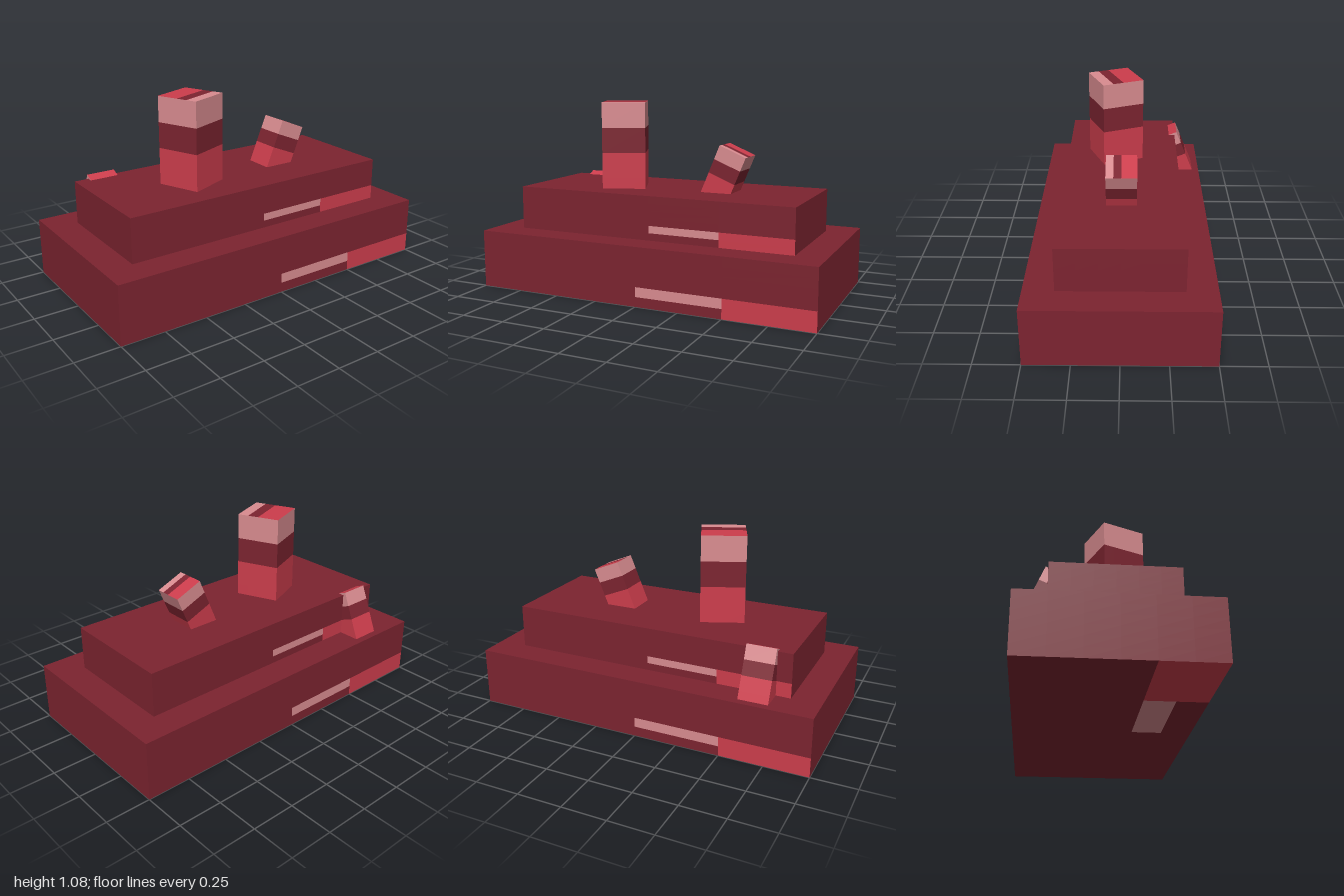
import * as THREE from 'three';

const DARK = 0, RED = 1, PINK = 2;

// Box whose grid cells are coloured by rule(normal, x, y, z), with x, y, z from 0 to 1
function patternedBox(name, size, segments, materials, rule) {
  const geo = new THREE.BoxGeometry(...size, ...segments);
  const pos = geo.attributes.position, index = geo.index;
  const centre = new THREE.Vector3(), corner = new THREE.Vector3(), normal = new THREE.Vector3();
  geo.clearGroups();
  for (let i = 0; i < index.count; i += 6) {
    centre.set(0, 0, 0);
    for (let k = 0; k < 6; k++) centre.add(corner.fromBufferAttribute(pos, index.getX(i + k)));
    // The two triangles share a diagonal, whose midpoint is the cell centre
    centre.divideScalar(6);
    normal.fromBufferAttribute(geo.attributes.normal, index.getX(i));
    const [x, y, z] = centre.toArray().map((c, a) => c / size[a] + 0.5);
    geo.addGroup(i, 6, rule(normal, x, y, z));
  }
  const mesh = new THREE.Mesh(geo, materials);
  mesh.name = name;
  return mesh;
}

// Deck blocks: red corner panel and pink bar on the front, back and underside
function deckRule(n, x, y, z) {
  if (n.y > 0.5 || Math.abs(n.x) > 0.5) return DARK;
  const u = n.z > 0.5 ? x : 1 - x;
  const v = n.y < -0.5 ? 1 - z : y;
  if (v > 1 / 3 || u < 0.5) return DARK;
  if (u > 0.75) return RED;
  return v > 1 / 6 ? PINK : DARK;
}

// Funnels: red lower half, dark band, pink band; the cap repeats this from back to front
function funnelRule(n, x, y, z) {
  const t = Math.abs(n.y) > 0.5 ? z : y;
  return t < 0.5 ? RED : t < 0.75 ? DARK : PINK;
}

export function createModel() {
  const model = new THREE.Group();
  model.name = 'steppedHull';
  const colours = { darkRed: 0x7c2430, red: 0xcc3d4c, pink: 0xd98c90 };
  const materials = Object.entries(colours).map(([name, color]) => {
    const m = new THREE.MeshStandardMaterial({ color });
    m.name = name;
    return m;
  });

  // Two stacked decks
  const lower = patternedBox('lowerDeck', [2, 1 / 3, 1], [4, 6, 6], materials, deckRule);
  lower.position.y = 1 / 6;
  const upper = patternedBox('upperDeck', [5 / 3, 0.25, 2 / 3], [4, 6, 6], materials, deckRule);
  upper.position.y = 1 / 3 + 0.125;
  model.add(lower, upper);

  // Striped funnels: one upright and turned, two tilted
  const turn = Math.PI / 8;
  const funnels = [
    ['tallFunnel', [0.25, 7 / 12, 0.25], [-0.292, 0.792, 0.042], [0, turn, 0]],
    ['tiltedFunnel', [1 / 6, 1 / 3, 1 / 6], [0.333, 0.667, 0], [0, 0, -turn]],
    ['rearFunnel', [1 / 6, 1 / 3, 1 / 6], [-0.667, 0.418, -0.333], [turn, 0, 0]],
  ];
  for (const [name, size, position, rotation] of funnels) {
    const funnel = patternedBox(name, size, [1, 4, 4], materials, funnelRule);
    funnel.position.set(...position);
    funnel.rotation.set(...rotation);
    model.add(funnel);
  }
  return model;
}
